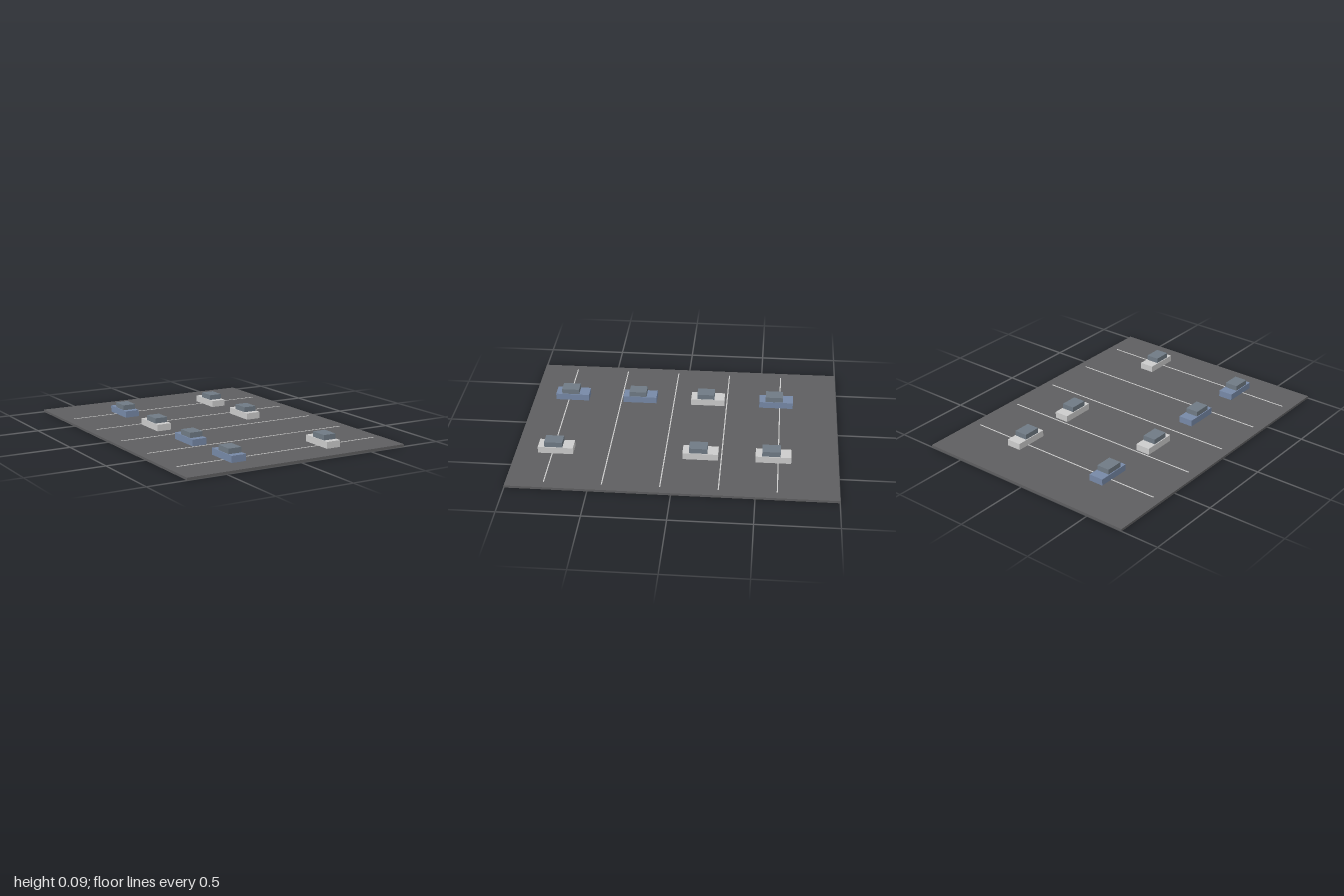
import * as THREE from 'three';

const paint = (color) => new THREE.MeshStandardMaterial({ color });
const asphalt = paint(0x5e5e60);
const white = paint(0xcccccc);
const blue = paint(0x7688a6);
const glass = paint(0x6f7a84);

const SLAB_TOP = 0.015;

// Box standing on height y, centred on x and z
function block(name, material, [w, h, d], [x, y, z]) {
  const mesh = new THREE.Mesh(new THREE.BoxGeometry(w, h, d), material);
  mesh.name = name;
  mesh.position.set(x, y + h / 2, z);
  return mesh;
}

// Car: low body with a cabin set slightly forward
function car(x, z, material) {
  const group = new THREE.Group();
  group.name = 'car';
  group.add(
    block('carBody', material, [0.096, 0.042, 0.22], [0, 0, 0]),
    block('carCabin', glass, [0.085, 0.033, 0.113], [0, 0.042, 0.013])
  );
  group.position.set(x, SLAB_TOP, z);
  return group;
}

export function createModel() {
  const model = new THREE.Group();
  model.name = 'parkingLot';

  // Pavement
  model.add(block('pavement', asphalt, [1.5, SLAB_TOP, 2], [0, 0, 0]));

  // Painted lines across the lot
  for (let i = 0; i < 5; i++) {
    model.add(block('paintedLine', white, [1.385, 0.002, 0.007], [0, SLAB_TOP, -0.63 + i * 0.35]));
  }

  // Left-hand column of four cars, right-hand column with one empty place
  [blue, white, blue, blue].forEach((m, i) => model.add(car(-0.332, -0.605 + i * 0.45, m)));
  [0, 1, 3].forEach((i) => model.add(car(0.328, -0.6 + i * 0.45, white)));

  return model;
}
